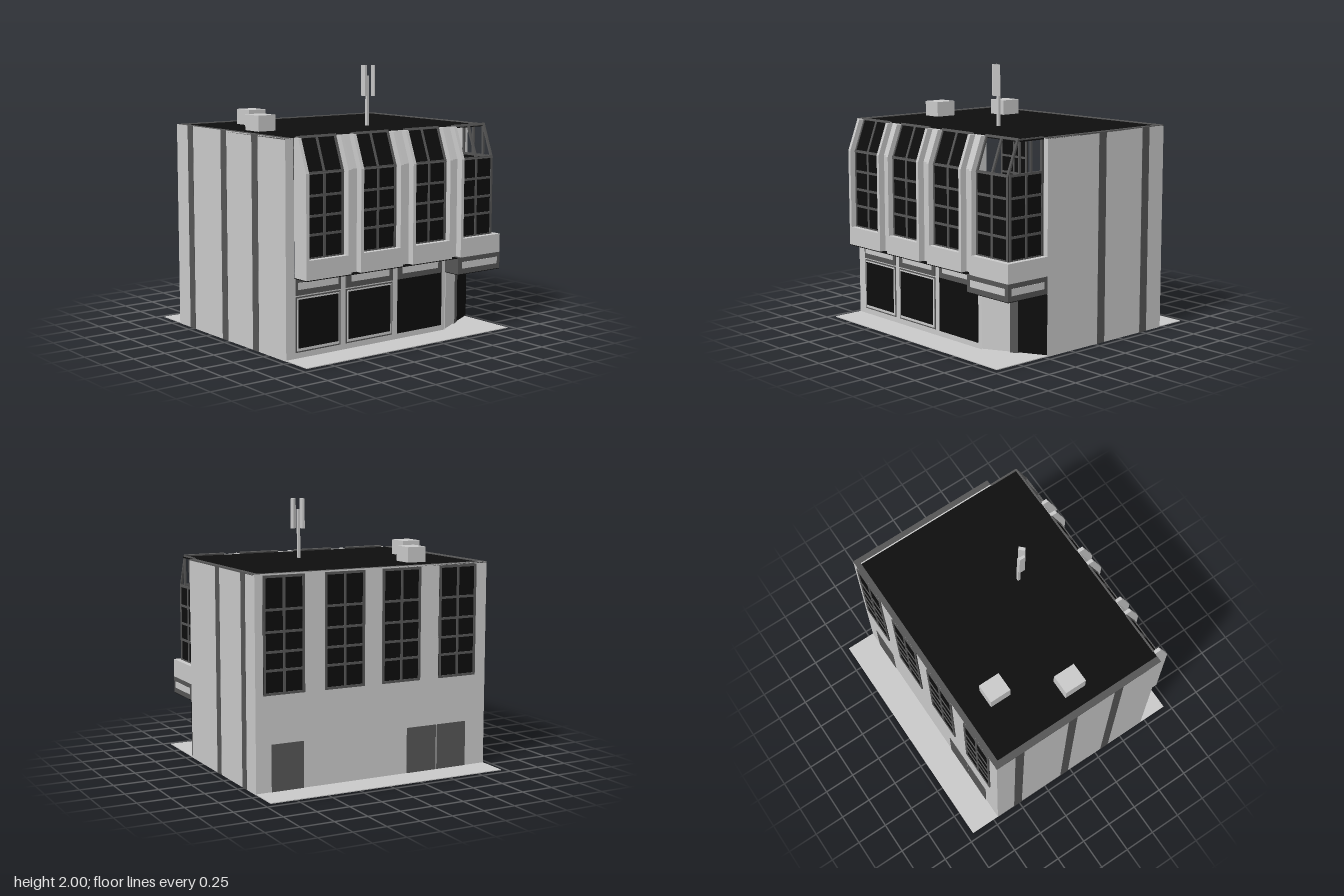
import * as THREE from 'three';

const mat = (name, color) => {
  const m = new THREE.MeshStandardMaterial({ color });
  m.name = name;
  return m;
};

export function createModel() {
  const light = mat('light concrete', 0xc8c8c8);
  const dark = mat('dark grey trim', 0x555555);
  const black = mat('black glass and roof', 0x0d0d0d);
  const model = new THREE.Group();
  model.name = 'cornerBuilding';

  // Box from its limits along each axis
  function box(name, m, x0, x1, y0, y1, z0, z1, parent = model) {
    const mesh = new THREE.Mesh(new THREE.BoxGeometry(x1 - x0, y1 - y0, z1 - z0), m);
    mesh.position.set((x0 + x1) / 2, (y0 + y1) / 2, (z0 + z1) / 2);
    mesh.name = name;
    parent.add(mesh);
    return mesh;
  }

  // One-sided wall sheet, facing +z before it is turned about y
  function sheet(name, m, w, h, x, y, z, turn) {
    const mesh = new THREE.Mesh(new THREE.PlaneGeometry(w, h), m);
    mesh.position.set(x, y, z);
    mesh.rotation.y = turn;
    mesh.name = name;
    model.add(mesh);
  }

  // Window grid facing +z, standing on y = 0 and centred on x
  function glazing(name, w, rails, glazed = true) {
    const g = new THREE.Group();
    g.name = name;
    const h = rails[rails.length - 1], b = 0.009;
    if (glazed) box('glass', black, -w / 2, w / 2, 0, h, -0.004, 0.002, g);
    for (const y of rails) box('rail', dark, -w / 2, w / 2, y - b, y + b, -0.006, 0.008, g);
    for (const x of [-w / 2 + b, 0, w / 2 - b]) box('mullion', dark, x - b, x + b, 0, h, -0.006, 0.008, g);
    return g;
  }
  function place(obj, x, y, z, turn) {
    obj.position.set(x, y, z);
    obj.rotation.y = turn;
    model.add(obj);
  }

  // Ground plate and underside
  box('groundPlate', light, -0.95, 0.95, 0.002, 0.008, -0.95, 0.95);
  box('foundation', black, -0.68, 0.65, 0, 0.004, -0.6, 0.73);

  // Main walls
  sheet('frontWall', light, 1.42, 1.55, 0, 0.775, 0.95, 0);
  sheet('leftOuterWall', light, 1.9, 1.55, -0.71, 0.775, 0, -Math.PI / 2);
  box('backWall', light, -0.71, 0.48, 0, 1.545, -0.95, -0.9);
  sheet('shopWall', light, 1.47, 0.58, 0.71, 0.29, 0.215, Math.PI / 2);
  sheet('shopEndWall', light, 0.07, 0.97, 0.71, 1.065, 0.915, Math.PI / 2);

  // Vertical stripes on the end walls
  for (const x of [-0.515, -0.06, 0.34]) {
    box('frontStripe', dark, x - 0.037, x + 0.037, 0, 1.55, 0.947, 0.952);
    if (x < 0.3) box('backStripe', dark, x - 0.037, x + 0.037, 0, 1.55, -0.952, -0.947);
  }

  // Roof with parapet on three sides
  box('roof', black, -0.69, 0.71, 1.535, 1.545, -0.91, 0.92);
  box('sideParapet', dark, -0.71, -0.67, 1.54, 1.55, -0.95, 0.95);
  box('frontParapet', dark, -0.67, 0.71, 1.54, 1.55, 0.9, 0.95);
  box('backParapet', dark, -0.67, 0.48, 1.54, 1.55, -0.95, -0.91);

  // Roof units and mast
  box('roofUnit', light, -0.49, -0.325, 1.54, 1.66, 0.4, 0.55);
  box('roofUnit', light, -0.015, 0.155, 1.54, 1.66, 0.64, 0.79);
  box('mast', light, 0.212, 0.232, 1.54, 1.92, -0.163, -0.143);
  box('mastPanel', light, 0.2, 0.247, 1.77, 2, -0.13, -0.11);
  box('mastPanel', light, 0.238, 0.288, 1.77, 2, -0.19, -0.165).rotation.y = -Math.PI / 4;

  // Windows and doors of the plain long wall
  const rails = [0, 0.165, 0.295, 0.435, 0.59];
  for (const z of [-0.73, -0.25, 0.215, 0.695]) {
    place(glazing('sideWindow', 0.32, [...rails, 0.82]), -0.712, 0.71, z, -Math.PI / 2);
  }
  for (const [z0, z1] of [[-0.83, -0.58], [0.27, 0.52], [0.53, 0.78]]) {
    box('sideDoor', dark, -0.714, -0.708, 0, 0.35, z0, z1);
  }

  // Bay windows with a sloped upper pane; the last one is open at the top
  const tilt = Math.atan2(0.09, 0.24);
  const slope = Math.hypot(0.09, 0.24);
  [0.69, 0.215, -0.265, -0.735].forEach((z, i) => {
    const bay = glazing('bayWindow', 0.335, rails);
    const top = glazing('slopedPane', 0.335, [0, slope], i < 3);
    top.position.y = 0.59;
    top.rotation.x = -tilt;
    bay.add(top);
    place(bay, 0.8, 0.72, z, Math.PI / 2);
    if (i < 3) box('spandrel', light, 0.71, 0.85, 0.582, 0.72, z - 0.175, z + 0.175);
  });

  // Side profile of the bay, extruded along z
  function profile(name, outer, shoulder, z0, z1) {
    const s = new THREE.Shape();
    s.moveTo(0.71, 0.582);
    s.lineTo(outer, 0.582);
    s.lineTo(outer, 1.315);
    s.lineTo(shoulder, 1.55);
    s.lineTo(0.71, 1.55);
    s.closePath();
    const mesh = new THREE.Mesh(new THREE.ExtrudeGeometry(s, { depth: z1 - z0, bevelEnabled: false }), light);
    mesh.position.z = z0;
    mesh.name = name;
    model.add(mesh);
  }
  for (const z of [0.865, 0.502, 0.39, 0.028, -0.09, -0.447, -0.56]) profile('fin', 0.85, 0.76, z - 0.013, z + 0.013);
  for (const z of [0.446, -0.031, -0.503]) profile('gapPanel', 0.8, 0.712, z - 0.045, z + 0.045);
  box('baySoffit', black, 0.71, 0.849, 0.576, 0.582, -0.52, 0.878);

  // Corner bay over the entrance
  box('cornerSpandrel', light, 0.48, 0.85, 0.58, 0.72, -0.95, -0.57);
  place(glazing('cornerBackWindow', 0.32, rails), 0.64, 0.72, -0.9, Math.PI);
  place(glazing('cornerTopFrame', 0.23, [0, 0.235], false), 0.595, 1.31, -0.9, Math.PI);
  box('cornerSign', dark, 0.48, 0.85, 0.455, 0.58, -0.95, -0.52);
  box('cornerSoffit', black, 0.48, 0.848, 0.45, 0.456, -0.948, -0.522);
  box('cornerSignStrip', light, 0.848, 0.853, 0.495, 0.545, -0.92, -0.56);
  box('cornerSignStrip', light, 0.51, 0.82, 0.495, 0.545, -0.953, -0.948);

  // Shop fronts: sign board, plain strip and window
  [[0.48, 0.87], [0, 0.43], [-0.48, -0.05]].forEach(([z0, z1], i) => {
    const c = [0.68, 0.21, -0.265][i];
    box('signBoard', dark, 0.71, 0.718, 0.455, 0.576, z0, z1);
    box('signStrip', light, 0.716, 0.721, 0.495, 0.545, c - 0.175, c + 0.175);
    if (i < 2) {
      box('shopFrame', dark, 0.708, 0.714, 0.05, 0.445, z0, z1);
      box('shopInnerFrame', light, 0.71, 0.717, 0.06, 0.435, z0 + 0.01, z1 - 0.01);
      box('shopGlass', black, 0.712, 0.72, 0.08, 0.425, z0 + 0.024, z1 - 0.02);
    } else {
      box('shopGlass', black, 0.71, 0.716, 0.05, 0.455, z0, z1);
    }
  });

  // Diagonal entrance wall under the corner bay
  const entrance = new THREE.Group();
  entrance.name = 'entrance';
  const len = Math.hypot(0.23, 0.43);
  box('entrancePanel', light, 0, len * 0.44, 0.015, 0.45, -0.004, 0.004, entrance);
  box('entrancePost', dark, len * 0.44, len * 0.56, 0.008, 0.45, -0.004, 0.004, entrance);
  box('entranceDoor', black, len * 0.56, len, 0.015, 0.45, -0.004, 0.004, entrance);
  place(entrance, 0.71, 0, -0.52, Math.atan2(0.43, -0.23));

  return model;
}
